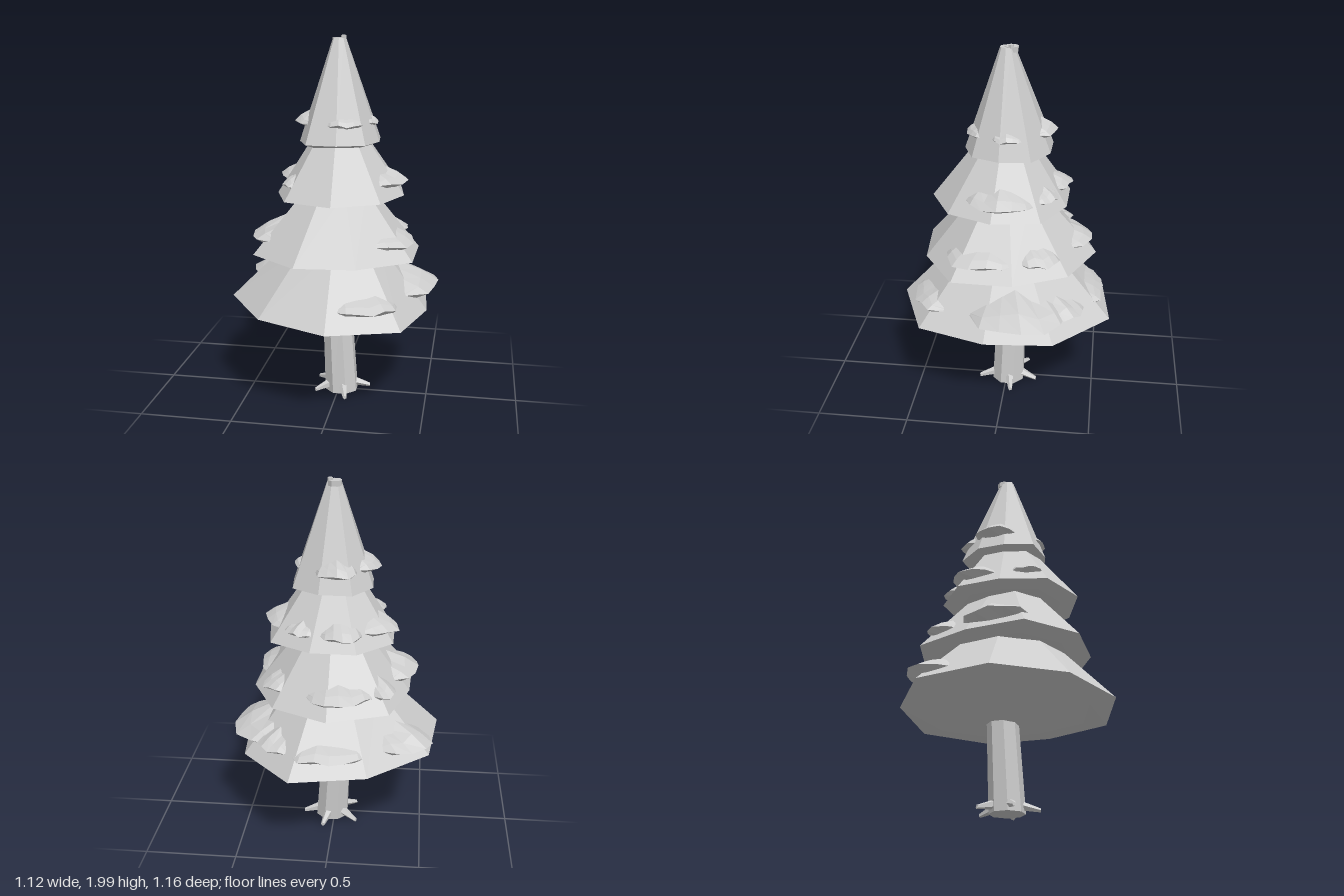
import * as THREE from 'three';

const RAD = Math.PI / 180;

// Skin a list of equal-length point rings with flat faces and end caps
function loft(rings) {
  const pos = [];
  const tri = (a, b, c) => pos.push(...a, ...b, ...c);
  const n = rings[0].length;
  for (let k = 0; k < rings.length - 1; k++) {
    const a = rings[k], b = rings[k + 1];
    for (let i = 0; i < n; i++) {
      const j = (i + 1) % n;
      tri(a[i], a[j], b[j]);
      tri(a[i], b[j], b[i]);
    }
  }
  const lo = rings[0], hi = rings[rings.length - 1];
  for (let i = 1; i < n - 1; i++) {
    tri(lo[0], lo[i + 1], lo[i]);
    tri(hi[0], hi[i], hi[i + 1]);
  }
  const g = new THREE.BufferGeometry();
  g.setAttribute('position', new THREE.Float32BufferAttribute(pos, 3));
  g.computeVertexNormals();
  return g;
}

// Regular ring, counter-clockwise seen from above
function ring(n, r, y, cx, cz) {
  return Array.from({ length: n }, (_, i) => {
    const a = (i + 0.5) / n * Math.PI * 2;
    return [cx + r * Math.sin(a), y, cz + r * Math.cos(a)];
  });
}

// Uneven nine-sided outline (x, z) from evenly turned spokes
const outline = (start, spokes) => spokes.map((r, i) => {
  const a = (start - i * 360 / spokes.length) * RAD;
  return [r * Math.cos(a), r * Math.sin(a)];
});

// Distance from the axis to an outline in direction a
function outlineRadius(points, a) {
  const dx = Math.cos(a), dz = Math.sin(a);
  const hits = points.map(([px, pz], i) => {
    const [qx, qz] = points[(i + 1) % points.length];
    const ex = qx - px, ez = qz - pz;
    const det = dx * ez - dz * ex;
    const u = (px * dz - pz * dx) / det;
    return u > -1e-6 && u < 1 + 1e-6 ? (px * ez - pz * ex) / det : 0;
  });
  return Math.max(...hits);
}

// Skirt from its underside over the rim to the narrow top
function skirt(rim, t) {
  const level = (k, y, tilt = 0) => rim.map(([x, z]) => [x * k, y - tilt * x, z * k]);
  return loft([
    level(0.12, t.y - t.drop),
    level(0.76, t.y - 0.02),
    level(1, t.y, t.tilt),
    level(t.k, t.topY),
  ]);
}

// Ragged wedge that swells out of a skirt and fades at both ends
function clump(rim, t, [deg, half, reach], seed) {
  const y = t.clumpY, h = 0.01 + 0.7 * reach;
  const surface = (a, py) =>
    outlineRadius(rim, a) * (1 + (t.k - 1) * (py - t.y) / (t.topY - t.y));
  return loft([0, 0.55, 0.85, 1, 0.8, 0.6, 0].map((s, i) => {
    const a = (deg + half * (i / 3 - 1)) * RAD;
    const wave = Math.sin(i * 2.3 + seed);
    const low = y - 0.01 - 0.3 * reach * s;
    const lip = y + 0.008 * wave * s;
    const top = y + 0.01 + h * s * (1 + 0.2 * wave);
    const mid = (lip + top) / 2;
    const point = (py, out) => {
      const r = surface(a, py) - 0.013 + out * s;
      return [r * Math.cos(a), py, r * Math.sin(a)];
    };
    return [point(low, 0), point(lip, reach + 0.012), point(mid, reach * 0.65 + 0.012), point(top, 0)];
  }));
}

// Root tapering outward from the trunk foot
function root(deg, tip) {
  const c = Math.cos(deg * RAD), s = Math.sin(deg * RAD);
  const section = (r, y, w) => [0, 1, 2, 3, 4].map((q) => {
    const a = q / 5 * Math.PI * 2;
    const side = w * Math.cos(a);
    return [0.013 + c * r - s * side, y + w * Math.sin(a), -0.015 + s * r + c * side];
  });
  return loft([section(tip, 0.025, 0.011), section(0.06, 0.055, 0.028)]);
}

// Branch tiers from the bottom up; each clump is [angle, half span, reach]
const TIERS = [
  {
    y: 0.56, topY: 0.9, k: 0.45, tilt: 0.04, drop: 0.09, clumpY: 0.645, start: 88,
    spokes: [0.58, 0.58, 0.5, 0.55, 0.61, 0.57, 0.6, 0.59, 0.57],
    clumps: [[-14, 36, 0.14], [213, 22, 0.12], [62, 22, 0.06], [268, 26, 0.06], [312, 16, 0.07]],
  },
  {
    y: 0.86, topY: 1.2, k: 0.38, tilt: 0, drop: 0.04, clumpY: 0.94, start: 110,
    spokes: [0.48, 0.45, 0.49, 0.44, 0.46, 0.49, 0.49, 0.42, 0.49],
    clumps: [[172, 30, 0.11], [20, 34, 0.06], [-35, 18, 0.07], [262, 28, 0.07], [222, 14, 0.07]],
  },
  {
    y: 1.17, topY: 1.5, k: 0.36, tilt: 0, drop: 0.04, clumpY: 1.245, start: 87,
    spokes: [0.4, 0.38, 0.36, 0.38, 0.34, 0.36, 0.36, 0.33, 0.39],
    clumps: [[2, 38, 0.08], [203, 32, 0.08], [258, 24, 0.07], [305, 18, 0.05], [140, 16, 0.05]],
  },
  {
    y: 1.45, topY: 1.985, k: 0.16, tilt: 0, drop: 0.02, clumpY: 1.55, start: 85,
    spokes: [0.22, 0.23, 0.22, 0.25, 0.24, 0.26, 0.23, 0.21, 0.25],
    clumps: [[185, 42, 0.075], [70, 36, 0.035], [262, 36, 0.07], [-5, 28, 0.03]],
  },
];

export function createModel() {
  const group = new THREE.Group();
  const grey = new THREE.MeshStandardMaterial({ color: 0xcccccc });
  grey.name = 'paleGrey';
  const add = (name, geometry, parent = group) => {
    const mesh = new THREE.Mesh(geometry, grey);
    mesh.name = name;
    parent.add(mesh);
  };

  // Leaning eight-sided trunk with short roots
  add('trunk', loft([ring(8, 0.095, 0.01, 0.015, -0.01), ring(8, 0.084, 0.5, -0.013, -0.025)]));
  [-8, 75, 145, 215, 285].forEach((deg, i) => add('root', root(deg, 0.165 + 0.01 * (i % 2))));

  // Skirts with their foliage clumps
  TIERS.forEach((t, ti) => {
    const tier = new THREE.Group();
    tier.name = 'branchTier' + (ti + 1);
    group.add(tier);
    const rim = outline(t.start, t.spokes);
    add('skirt', skirt(rim, t), tier);
    t.clumps.forEach((c, ci) => add('foliageClump', clump(rim, t, c, ci * 1.7 + ti), tier));
  });

  // Blunt crown with a tiny nub
  add('crown', loft([ring(8, 0.036, 1.96, -0.004, -0.022), ring(8, 0.037, 1.988, -0.004, -0.022)]));
  add('nub', loft([ring(6, 0.015, 1.97, 0.02, -0.022), ring(6, 0.014, 2, 0.02, -0.022)]));

  return group;
}
